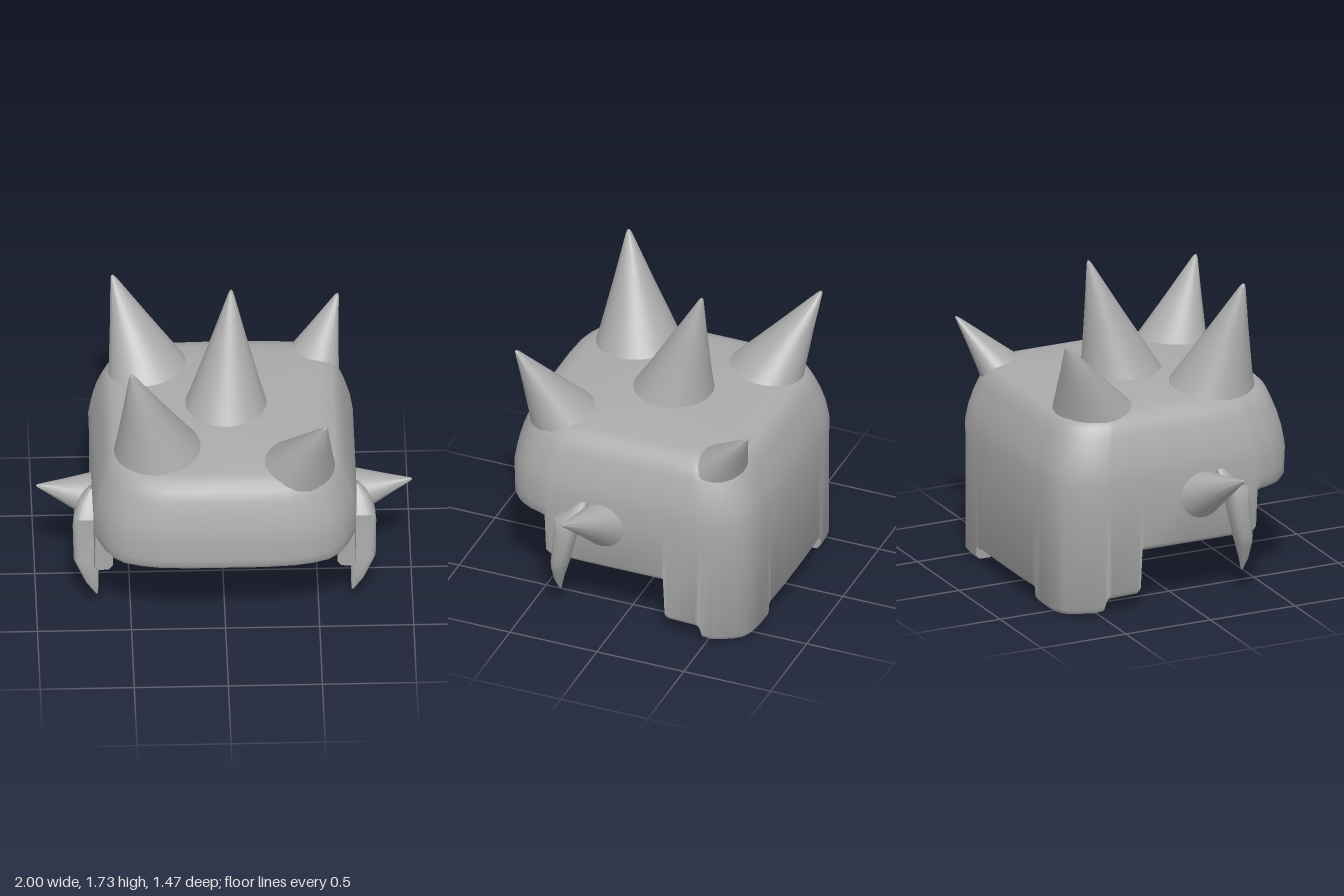
import * as THREE from 'three';
import { toCreasedNormals } from 'three/addons/utils/BufferGeometryUtils.js';

const metal = new THREE.MeshStandardMaterial({ color: 0xaaaaaa, side: THREE.DoubleSide });
metal.name = 'grey metal';

function part(name, geometry, crease = 0.9) {
  geometry.deleteAttribute('uv');
  const mesh = new THREE.Mesh(toCreasedNormals(geometry, crease), metal);
  mesh.name = name;
  return mesh;
}

// Moves a coordinate inward by d at the walls, and hardly at all near the middle
const inset = (v, d) => v - d * Math.sign(v) * Math.min(1, Math.abs(v) / 0.7) ** 4;

// Hollow helmet: half outline as [x, z, lower edge height], mirrored in x
function shell() {
  const half = [
    [0, 0.73, 0.58], [0.2, 0.73, 0.58], [0.36, 0.72, 0.58], [0.46, 0.695, 0.575],
    [0.55, 0.655, 0.57], [0.61, 0.605, 0.57], [0.65, 0.54, 0.57], [0.68, 0.46, 0.57],
    [0.69, 0.43, 0.565], [0.692, 0.42, 0.35], [0.695, 0.405, 0.34], [0.7, 0.2, 0.34],
    [0.7, 0, 0.34], [0.7, -0.245, 0.34], [0.7, -0.255, 0.33], [0.7, -0.265, 0.11],
    [0.7, -0.28, 0.1], [0.7, -0.44, 0.095], [0.698, -0.46, 0.08], [0.694, -0.475, 0.03],
    [0.684, -0.53, 0.02], [0.66, -0.58, 0.02], [0.625, -0.63, 0.015], [0.58, -0.675, 0.01],
    [0.53, -0.7, 0.01], [0.48, -0.712, 0.015], [0.43, -0.718, 0.02], [0.36, -0.722, 0.025],
    [0.35, -0.722, 0.08], [0.335, -0.724, 0.09], [0.15, -0.73, 0.09], [0, -0.73, 0.09],
  ];
  const outline = [...half, ...half.slice(1, -1).reverse().map(([x, z, b]) => [-x, z, b])];
  // Wall profile as [scale, inset, height, measured from the lower edge]: inside down, outside up
  const profile = [
    [0, 0, 0.81], [0.6, 0.1, 0.805], [0.85, 0.1, 0.79], [0.95, 0.1, 0.76], [0.99, 0.1, 0.71],
    [1, 0.1, 0.64], [1, 0.1, 0.025, true], [1, 0.08, 0, true], [1, 0.02, 0, true],
    [1, 0, 0.025, true], [1, 0, 0.64], [1.005, 0, 0.74], [0.985, 0, 0.83], [0.955, 0, 0.91],
    [0.92, 0, 0.98], [0.885, 0, 1.04], [0.84, 0, 1.073], [0.76, 0, 1.09], [0.6, 0, 1.102],
    [0.3, 0, 1.115], [0, 0, 1.12],
  ];
  const n = outline.length, position = [], index = [];
  for (const [s, d, y, fromEdge] of profile)
    for (const [x, z, b] of outline) position.push(inset(x, d) * s, fromEdge ? b + y : y, inset(z, d) * s);
  for (let j = 0; j < profile.length - 1; j++)
    for (let i = 0; i < n; i++) {
      const a = j * n + i, b = j * n + (i + 1) % n;
      index.push(a, b, b + n, a, b + n, a + n);
    }
  const g = new THREE.BufferGeometry();
  g.setAttribute('position', new THREE.Float32BufferAttribute(position, 3));
  g.setIndex(index);
  return g;
}

// Leaning cone: a ring across the axis, sheared so its point lands on the tip
function spike(base, tip, radius, axis = [0, 1, 0]) {
  const profile = [[1.04, 0], [0.93, 0.1], [0.82, 0.2], [0.42, 0.6], [0.07, 0.965], [0.035, 0.99], [0, 1]];
  const g = new THREE.LatheGeometry(profile.map(([r, t]) => new THREE.Vector2(r * radius, t)), 32);
  const from = new THREE.Vector3(...base), to = new THREE.Vector3(...tip);
  const turn = new THREE.Quaternion().setFromUnitVectors(new THREE.Vector3(0, 1, 0), new THREE.Vector3(...axis));
  const p = g.attributes.position;
  for (let i = 0; i < p.count; i++) {
    const ring = new THREE.Vector3(p.getX(i), 0, p.getZ(i)).applyQuaternion(turn);
    ring.add(from.clone().lerp(to, p.getY(i)));
    p.setXYZ(i, ring.x, ring.y, ring.z);
  }
  return g;
}

// Cheek tusk: rounded-square sections as [x, y, z, half width, half depth], top to point
function tusk(side) {
  const sections = [
    [0.7, 0.74, 0.2, 0.02, 0.02], [0.715, 0.69, 0.22, 0.05, 0.045], [0.73, 0.63, 0.28, 0.07, 0.065],
    [0.735, 0.56, 0.285, 0.072, 0.06], [0.735, 0.36, 0.317, 0.068, 0.046], [0.725, 0.31, 0.327, 0.055, 0.04],
    [0.705, 0.22, 0.338, 0.035, 0.022], [0.68, 0.14, 0.342, 0.006, 0.005],
  ];
  const rows = sections.length - 1;
  const g = new THREE.CylinderGeometry(1, 1, 1, 20, rows, true);
  const squarish = v => Math.sign(v) * Math.abs(v) ** 0.7;
  const p = g.attributes.position;
  for (let i = 0; i < p.count; i++) {
    const [x, y, z, w, d] = sections[Math.round((0.5 - p.getY(i)) * rows)];
    p.setXYZ(i, side * x + squarish(p.getX(i)) * w, y, z + squarish(p.getZ(i)) * d);
  }
  return g;
}

export function createModel() {
  const model = new THREE.Group();
  model.name = 'spikedHelmet';
  model.add(part('helmetShell', shell(), 0.75));

  // Crown spikes
  const crown = [
    ['centreSpike', [0.015, 1.08, -0.025], [0.05, 1.735, -0.21], 0.22],
    ['frontRightSpike', [-0.335, 1.03, 0.3], [-0.5, 1.68, 0.44], 0.25],
    ['frontLeftSpike', [0.35, 0.98, 0.385], [0.53, 1.475, 0.66], 0.235],
    ['backRightSpike', [-0.345, 1.0, -0.345], [-0.57, 1.515, -0.64], 0.25],
    ['backLeftSpike', [0.43, 0.95, -0.42], [0.63, 1.31, -0.71], 0.195],
  ];
  for (const [name, base, tip, radius] of crown) model.add(part(name, spike(base, tip, radius)));

  // Side spikes and tusks
  for (const [label, side] of [['left', 1], ['right', -1]]) {
    model.add(part(label + 'SideSpike', spike([side * 0.63, 0.57, 0.08], [side, 0.76, 0.2], 0.155, [side, 0, 0])));
    model.add(part(label + 'Tusk', tusk(side)));
  }
  return model;
}
